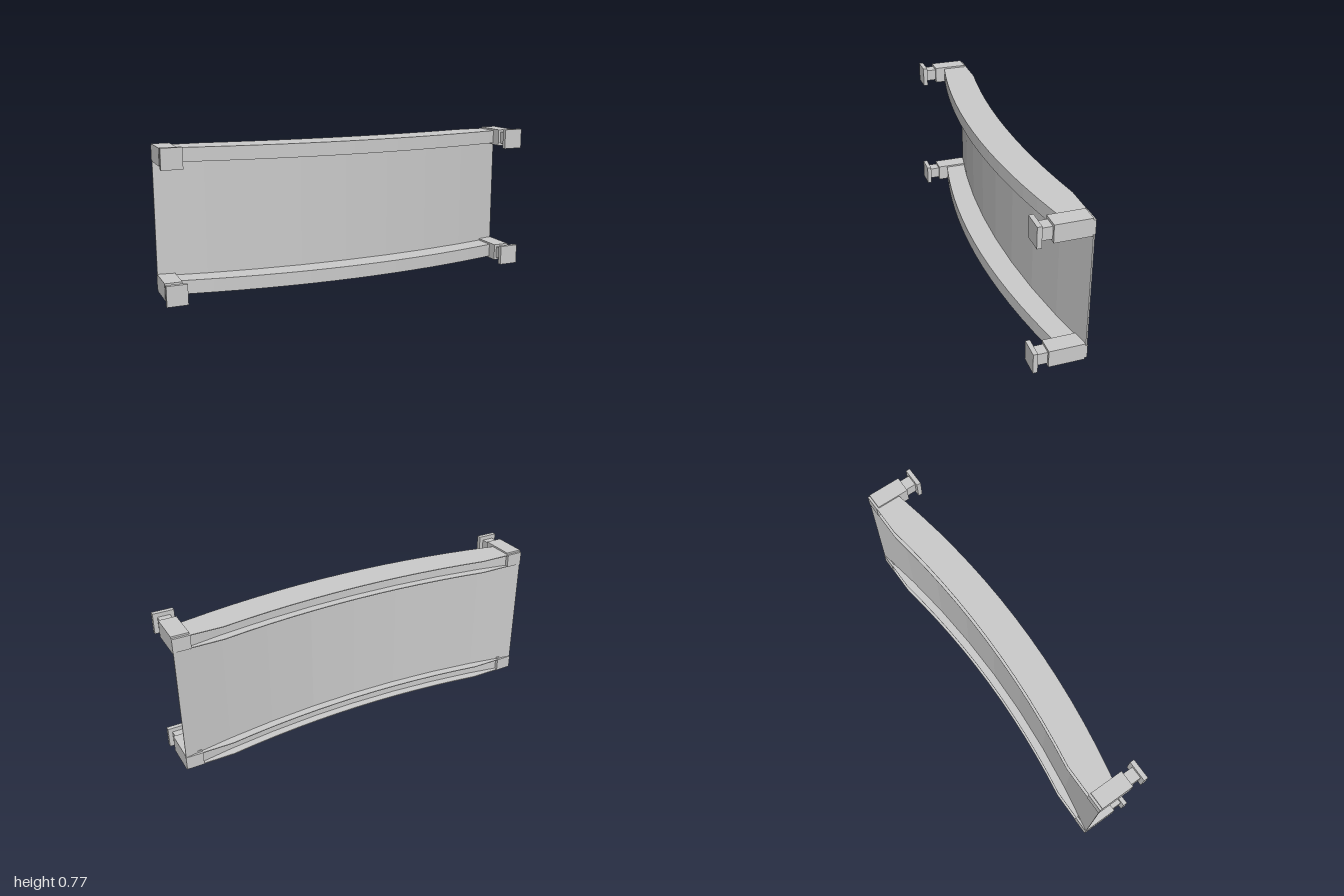
import * as THREE from 'three';

const material = new THREE.MeshStandardMaterial({ color: 0xcccccc, flatShading: true, side: THREE.DoubleSide });
const END = 0.99, SEGMENTS = 16;
const ROWS = { lower: 0.054, upper: 0.716 };

// Depth of each bowed line at a given x
const railFront = x => 0.103 - 0.12 * x * x;
const railBack = x => Math.max(-0.13, -0.07 - 0.108 * x * x);
const panelFront = x => -0.02 - 0.105 * x * x;

// A bowed strip seen from above, raised from y0 to y1
function bowedSolid(name, front, back, y0, y1, segments = SEGMENTS) {
  const near = [], far = [];
  for (let i = 0; i <= segments; i++) {
    const x = END * (2 * i / segments - 1);
    near.push(new THREE.Vector2(x, -front(x)));
    far.unshift(new THREE.Vector2(x, -back(x)));
  }
  const geometry = new THREE.ExtrudeGeometry(new THREE.Shape([...near, ...far]), { depth: y1 - y0, bevelEnabled: false });
  geometry.rotateX(-Math.PI / 2);
  geometry.translate(0, y0, 0);
  const mesh = new THREE.Mesh(geometry, material);
  mesh.name = name;
  return mesh;
}

// Channel open towards the back: two flanges joined by a front wall
function rail(name, y) {
  const group = new THREE.Group();
  group.name = name;
  const half = 0.035, wall = 0.004;
  group.add(
    bowedSolid('topFlange', railFront, railBack, y + half - wall, y + half),
    bowedSolid('bottomFlange', railFront, railBack, y - half, y - half + wall),
    bowedSolid('frontWall', railFront, x => railFront(x) - wall, y - half + wall, y + half - wall)
  );
  return group;
}

// Square block of a given side between two depths
function block(name, side, z0, z1) {
  const mesh = new THREE.Mesh(new THREE.BoxGeometry(side, side, z1 - z0), material);
  mesh.name = name;
  mesh.position.z = (z0 + z1) / 2;
  return mesh;
}

// Corner mount: housing over the rail end, neck and square foot plate
function mount(name, x, y) {
  const group = new THREE.Group();
  group.name = name;
  group.add(
    block('railInsert', 0.07, -0.132, -0.1),
    block('housing', 0.088, -0.12, 0.057),
    block('neck', 0.062, 0.057, 0.112),
    block('footPlate', 0.105, 0.112, 0.135)
  );
  // The insert spans the housing width and reaches the end of the panel
  group.children[0].scale.x = 0.088 / 0.07;
  group.position.set(x, y, 0);
  return group;
}

export function createModel() {
  const model = new THREE.Group();
  model.name = 'bowedPanelFrame';
  model.add(bowedSolid('panel', panelFront, x => panelFront(x) - 0.007, 0.021, 0.749, 8));
  for (const [row, y] of Object.entries(ROWS)) {
    model.add(rail(row + 'Rail', y));
    for (const side of [-1, 1]) {
      model.add(mount(row + (side > 0 ? 'Left' : 'Right') + 'Mount', side * 0.9475, y));
    }
  }
  return model;
}
